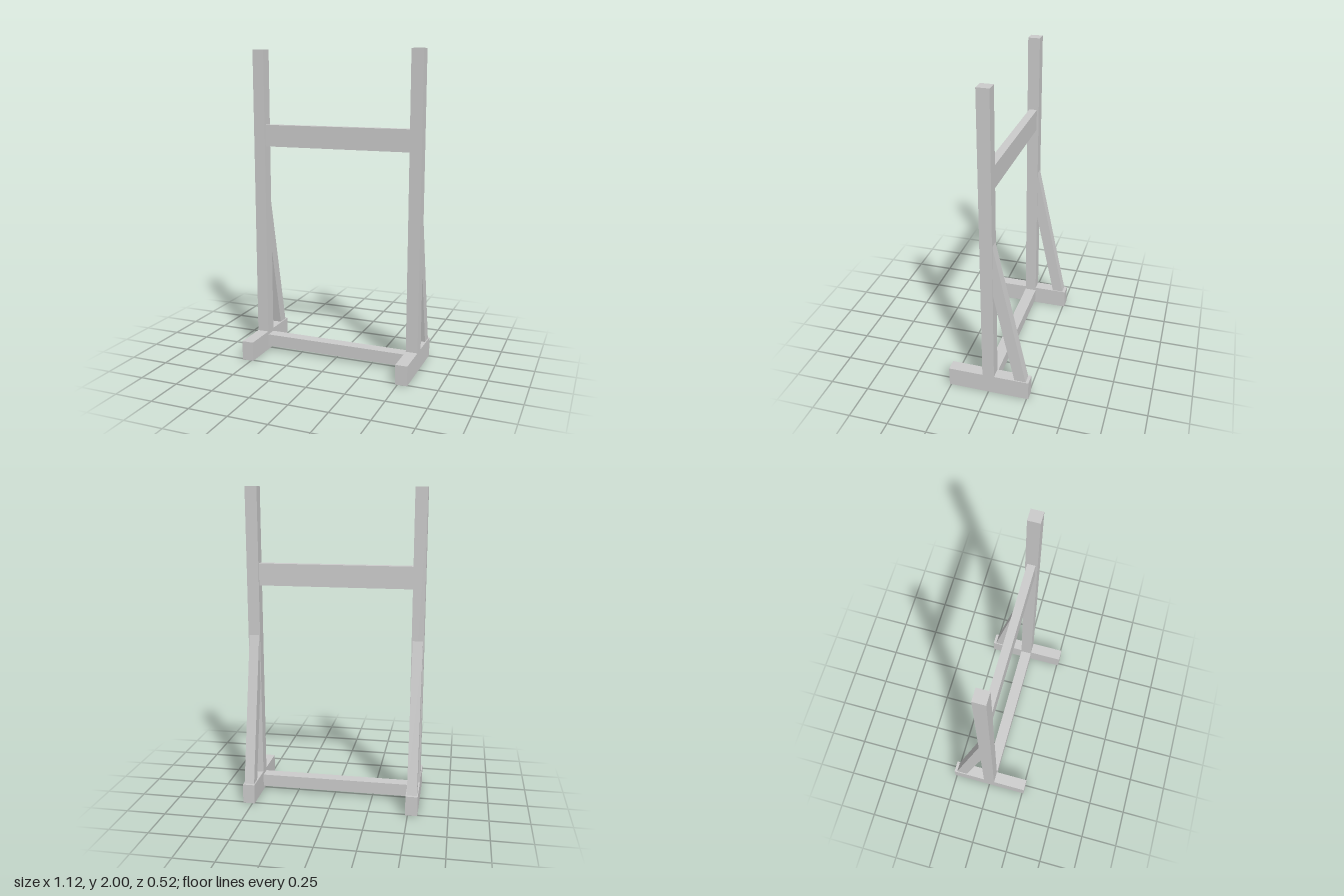
import * as THREE from 'three';

const material = new THREE.MeshStandardMaterial({ color: 0xcccccc, flatShading: true });

// Box given by its centre x, bottom and top y, width and depth, centred on z = 0
function beam(name, x, y0, y1, width, depth) {
  const mesh = new THREE.Mesh(new THREE.BoxGeometry(width, y1 - y0, depth), material);
  mesh.name = name;
  mesh.position.set(x, (y0 + y1) / 2, 0);
  return mesh;
}

// Slanted rear strut with mitred ends, drawn in profile and extruded across x
function brace(name, x) {
  const width = 0.063;
  const profile = new THREE.Shape([
    new THREE.Vector2(0.038, 1.065),
    new THREE.Vector2(0.038, 0.727),
    new THREE.Vector2(0.169, 0.126),
    new THREE.Vector2(0.242, 0.126),
  ]);
  const geometry = new THREE.ExtrudeGeometry(profile, { depth: width, bevelEnabled: false });
  geometry.translate(0, 0, -width / 2);
  geometry.rotateY(Math.PI / 2); // profile x becomes -z
  const mesh = new THREE.Mesh(geometry, material);
  mesh.name = name;
  mesh.position.x = x;
  return mesh;
}

export function createModel() {
  const model = new THREE.Group();
  model.name = 'uprightFrame';
  const postX = 0.523, postWidth = 0.076, footTop = 0.126;

  // Foot, post and rear brace on each side
  for (const [side, sign] of [['left', 1], ['right', -1]]) {
    const x = sign * postX;
    model.add(
      beam(side + 'Foot', x, 0, footTop, postWidth, 0.522),
      beam(side + 'Post', x, footTop, 2, postWidth, postWidth),
      brace(side + 'Brace', x),
    );
  }

  // Cross rails between the posts
  const span = 2 * postX - postWidth;
  model.add(
    beam('lowerRail', 0, 0.025, 0.105, span, postWidth),
    beam('upperRail', 0, 1.386, 1.525, span, 0.051),
  );
  return model;
}
